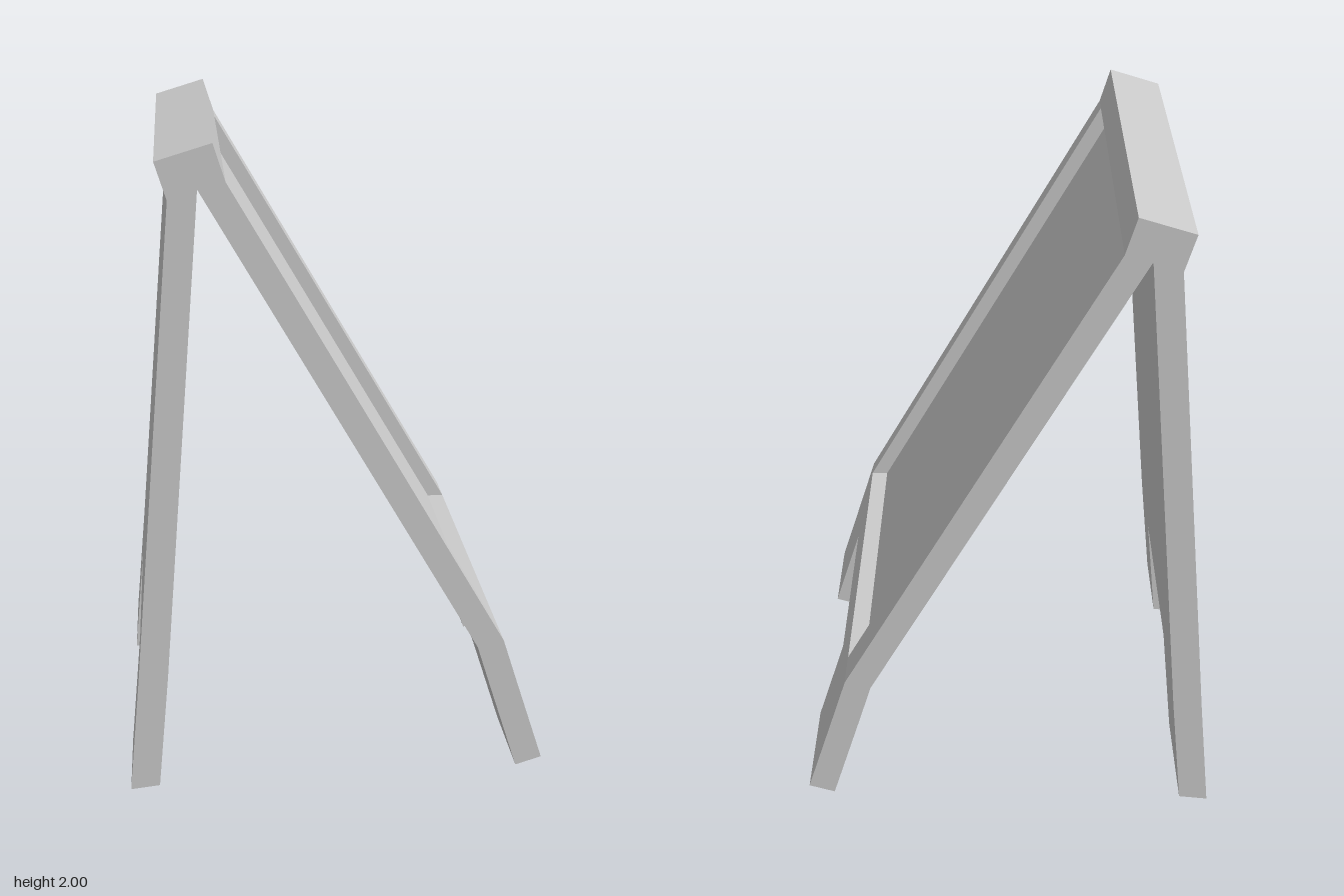
import * as THREE from 'three';

const HALF = 0.71;              // half width of the sign
const CUT = [-0.325, 0.385];    // foot cut-out, in z

// Sections [outer, inner] from foot to ridge: foot, cut-out top, (bend), ridge
const APEX = [-0.4, 1.87];
const FRONT = [
  [[0.64, 0.057], [0.56, 0.032]],
  [[0.551, 0.332], [0.472, 0.307]],
  [[0.51, 0.46], [0.43, 0.44]],
  [[-0.32, 1.89], APEX],
];
const BACK = [
  [[-0.642, 0], [-0.553, 0.01]],
  [[-0.608, 0.37], [-0.519, 0.375]],
  [[-0.485, 1.84], APEX],
];

// Collects flat polygons (counter-clockwise from outside) into one mesh
function builder(name, flip = false) {
  const pos = [];
  const poly = (...pts) => {
    if (flip) pts.reverse();
    for (let i = 1; i < pts.length - 1; i++) pos.push(...pts[0], ...pts[i], ...pts[i + 1]);
  };
  const at = (p, z) => [p[0], p[1], z];
  // strip along z between two profile points
  const strip = (a, b, z0, z1) => poly(at(a, z0), at(b, z0), at(b, z1), at(a, z1));
  // flat profile polygon at a given z, facing +z or -z
  const cap = (pts, z, dir) => {
    const p = pts.map((q) => at(q, z));
    poly(...(dir > 0 ? p : p.reverse()));
  };
  const mesh = () => {
    const g = new THREE.BufferGeometry();
    g.setAttribute('position', new THREE.Float32BufferAttribute(pos, 3));
    g.computeVertexNormals();
    const m = new THREE.Mesh(g, new THREE.MeshStandardMaterial({
      color: 0xcccccc, flatShading: true, side: THREE.DoubleSide,
    }));
    m.name = name;
    return m;
  };
  return { poly, at, strip, cap, mesh };
}

// A leaning board with two feet; recessed leaves the last outer face open
function board(name, sections, flip, recessed) {
  const b = builder(name, flip);
  sections.slice(0, -1).forEach(([o0, i0], k) => {
    const [o1, i1] = sections[k + 1];
    const last = k === sections.length - 2;
    const spans = k === 0 ? [[-HALF, CUT[0]], [CUT[1], HALF]] : [[-HALF, HALF]];
    for (const [z0, z1] of spans) {
      if (!(recessed && last)) b.strip(o0, o1, z0, z1);
      b.strip(i1, i0, z0, z1);
      b.cap([o0, o1, i1, i0], z1, 1);
      b.cap([o0, o1, i1, i0], z0, -1);
      if (k === 0) b.strip(i0, o0, z0, z1);   // sole of the foot
    }
  });
  b.strip(sections[1][1], sections[1][0], ...CUT);  // top of the cut-out
  if (recessed) recess(b, sections.at(-2)[0], sections.at(-1)[0]);
  return b.mesh();
}

// Sunken display panel, pushed straight back between the bend and the ridge
function recess(b, low, high) {
  const depth = 0.055;
  const rim = [
    b.at(low, -0.573), b.at(high, -0.563), b.at(high, 0.625), b.at(low, 0.635),
  ];
  const floor = rim.map(([x, y, z]) => [x - depth, y, z]);
  b.poly(b.at(low, -HALF), b.at(high, -HALF), rim[1], rim[0]);
  b.poly(rim[3], rim[2], b.at(high, HALF), b.at(low, HALF));
  rim.forEach((p, i) => {
    const j = (i + 1) % 4;
    b.poly(p, rim[j], floor[j], floor[i]);
  });
  b.poly(...floor);
}

// Ridge joining the two boards
function ridge() {
  const b = builder('topRidge');
  const profile = [FRONT.at(-1)[0], [-0.355, 2], [-0.52, 1.95], BACK.at(-1)[0]];
  for (let i = 0; i < 3; i++) b.strip(profile[i], profile[i + 1], -HALF, HALF);
  // fan from the apex keeps the concave outline correct
  b.cap([APEX, ...profile], HALF, 1);
  b.cap([...profile, APEX].map((_, i, a) => a[(i + 4) % 5]), -HALF, -1);
  return b.mesh();
}

export function createModel() {
  const model = new THREE.Group();
  model.name = 'sandwichBoard';
  model.add(
    board('frontBoard', FRONT, false, true),
    board('backBoard', BACK, true, false),
    ridge(),
  );
  return model;
}
